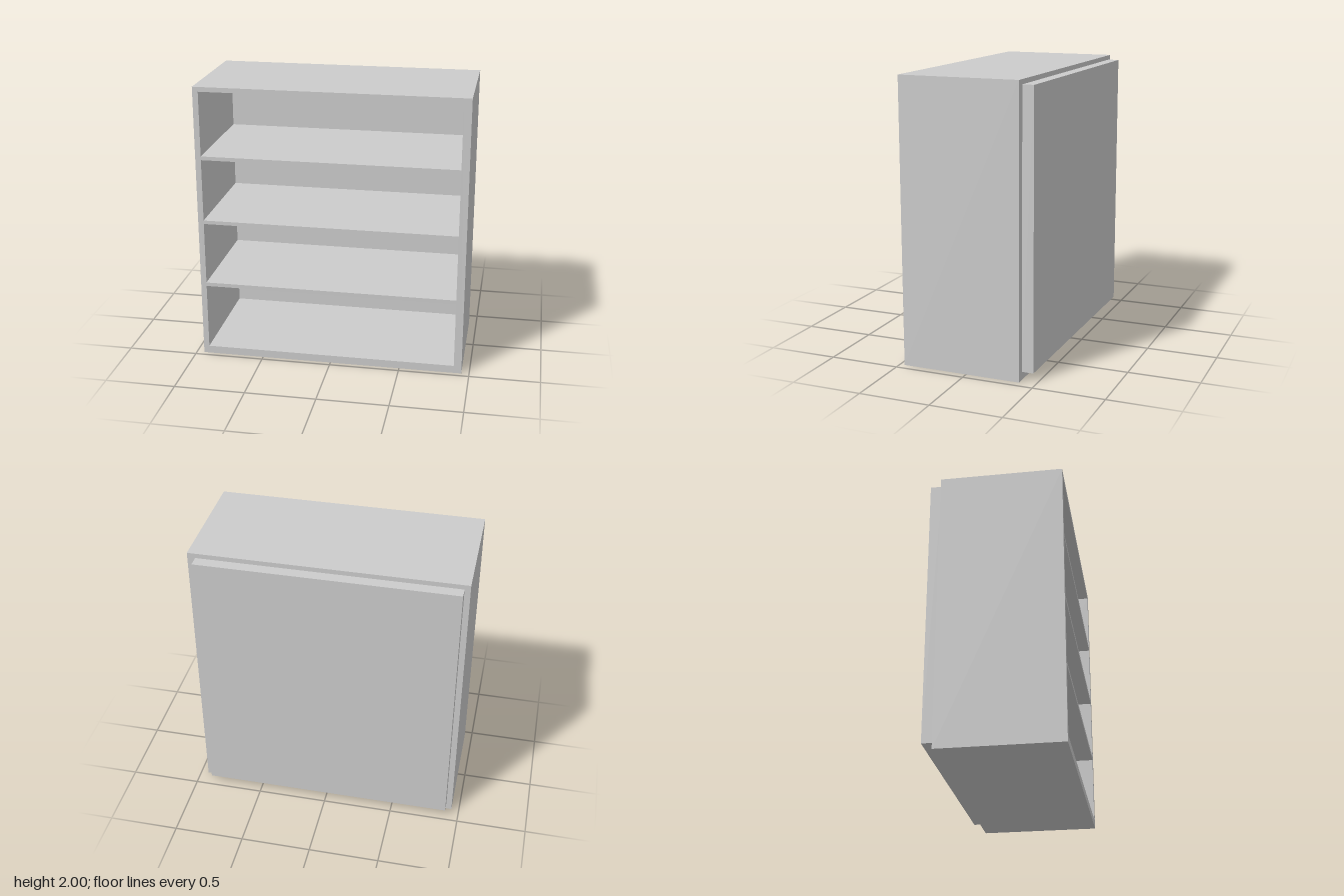
import * as THREE from 'three';

export function createModel() {
  const group = new THREE.Group();
  const material = new THREE.MeshStandardMaterial({ color: 0xcccccc, flatShading: true });

  // Box given by its low and high limits on each axis
  function board(name, [x0, x1], [y0, y1], [z0, z1]) {
    const mesh = new THREE.Mesh(new THREE.BoxGeometry(x1 - x0, y1 - y0, z1 - z0), material);
    mesh.position.set((x0 + x1) / 2, (y0 + y1) / 2, (z0 + z1) / 2);
    mesh.name = name;
    group.add(mesh);
  }

  const W = 0.945, H = 2, back = -0.385, front = 0.465;
  const innerX = [-0.905, 0.89], innerY = [0.055, 1.967];

  // Carcass: one rectangular frame, open at the front
  const frame = new THREE.Shape([
    new THREE.Vector2(-W, 0), new THREE.Vector2(W, 0),
    new THREE.Vector2(W, H), new THREE.Vector2(-W, H),
  ]);
  frame.holes.push(new THREE.Path([
    new THREE.Vector2(innerX[0], innerY[0]), new THREE.Vector2(innerX[0], innerY[1]),
    new THREE.Vector2(innerX[1], innerY[1]), new THREE.Vector2(innerX[1], innerY[0]),
  ]));
  const carcass = new THREE.Mesh(
    new THREE.ExtrudeGeometry(frame, { depth: front - back, bevelEnabled: false }), material);
  carcass.position.z = back;
  carcass.name = 'carcass';
  group.add(carcass);

  // Back panel, standing proud of the carcass
  board('backPanel', innerX, innerY, [-0.465, back]);

  // Shelves dividing the four compartments
  [[0.535, 0.562], [1.012, 1.038], [1.483, 1.51]].forEach((y, i) =>
    board(`shelf${i + 1}`, innerX, y, [back, front]));

  return group;
}
